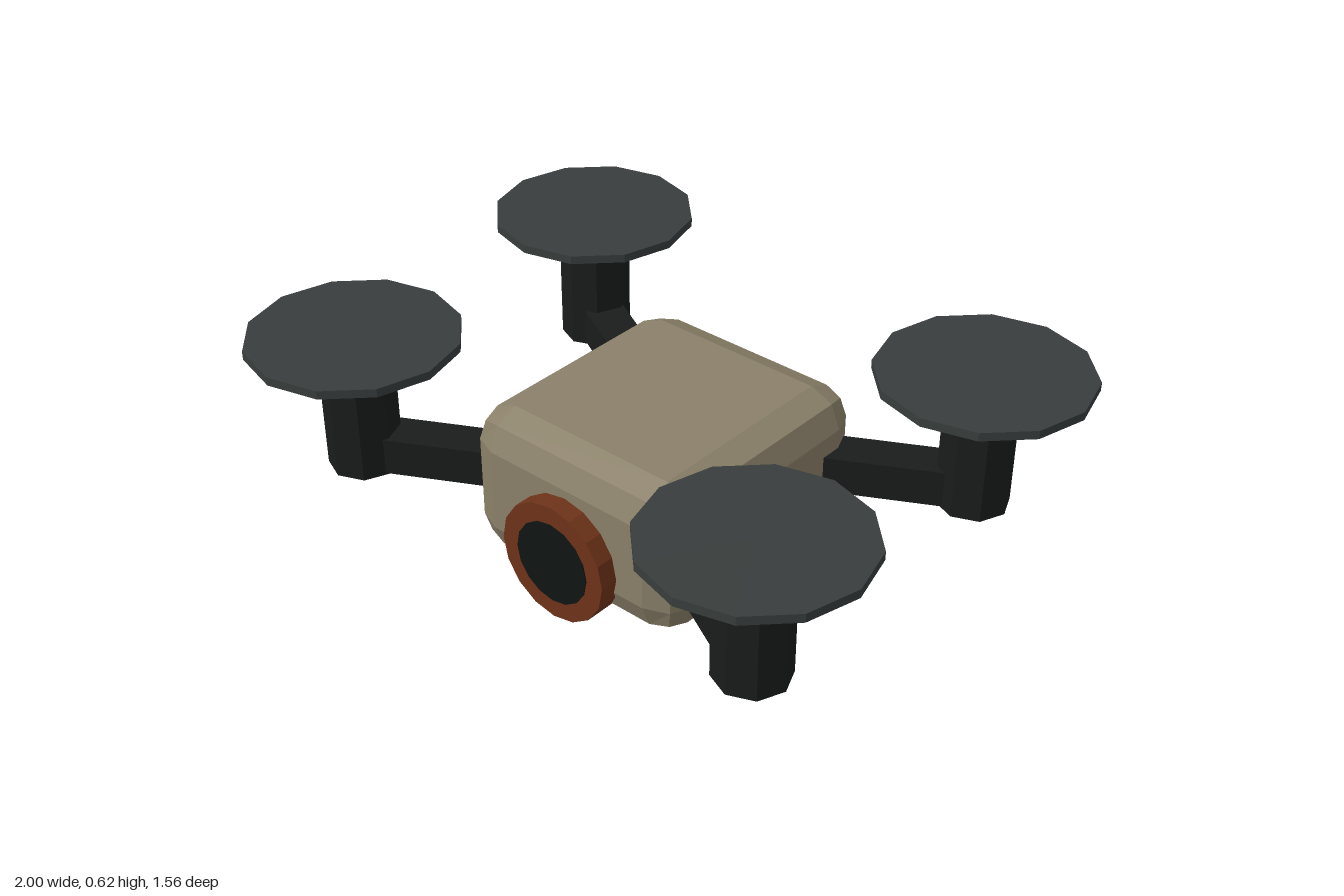
import * as THREE from 'three';
import { RoundedBoxGeometry } from 'three/addons/geometries/RoundedBoxGeometry.js';

const paint = (color) => new THREE.MeshStandardMaterial({ color, flatShading: true });

function addPart(parent, name, geometry, material, x, y, z) {
  const mesh = new THREE.Mesh(geometry, material);
  mesh.name = name;
  mesh.position.set(x, y, z);
  parent.add(mesh);
  return mesh;
}

export function createModel() {
  const model = new THREE.Group();
  model.name = 'drone';
  const tan = paint(0x8a8069);
  const brown = paint(0x6e3319);
  const black = paint(0x191c1b);
  const grey = paint(0x383d3c);
  const glass = paint(0x101413);

  // Body with chamfered edges
  addPart(model, 'body', new RoundedBoxGeometry(0.74, 0.45, 0.8, 1, 0.1), tan, 0, 0.26, 0);

  // Camera on the front
  const housing = new THREE.CylinderGeometry(0.18, 0.18, 0.155, 16).rotateX(Math.PI / 2);
  addPart(model, 'cameraHousing', housing, brown, 0, 0.18, 0.3775);
  const lens = new THREE.CylinderGeometry(0.125, 0.125, 0.1, 16).rotateX(Math.PI / 2);
  addPart(model, 'cameraLens', lens, glass, 0, 0.18, 0.408);

  // Four rotor units, mirrored left/right and front/back
  const motor = new THREE.CylinderGeometry(0.105, 0.105, 0.39, 8);
  const rotor = new THREE.CylinderGeometry(0.3, 0.3, 0.025, 12);
  const inner = new THREE.Vector2(0.28, 0.254);
  const outer = new THREE.Vector2(0.7, 0.48);
  const arm = new THREE.BoxGeometry(inner.distanceTo(outer), 0.11, 0.12);
  const angle = Math.atan2(outer.y - inner.y, outer.x - inner.x);

  for (const sx of [-1, 1]) {
    for (const sz of [-1, 1]) {
      const unit = new THREE.Group();
      unit.name = (sz > 0 ? 'front' : 'back') + (sx > 0 ? 'Left' : 'Right') + 'RotorUnit';
      const strut = addPart(unit, 'arm', arm, black,
        sx * (inner.x + outer.x) / 2, 0.271, sz * (inner.y + outer.y) / 2);
      strut.rotation.y = -sx * sz * angle;
      addPart(unit, 'motor', motor, black, sx * outer.x, 0.405, sz * outer.y);
      addPart(unit, 'rotorDisc', rotor, grey, sx * outer.x, 0.6125, sz * outer.y);
      model.add(unit);
    }
  }
  return model;
}
